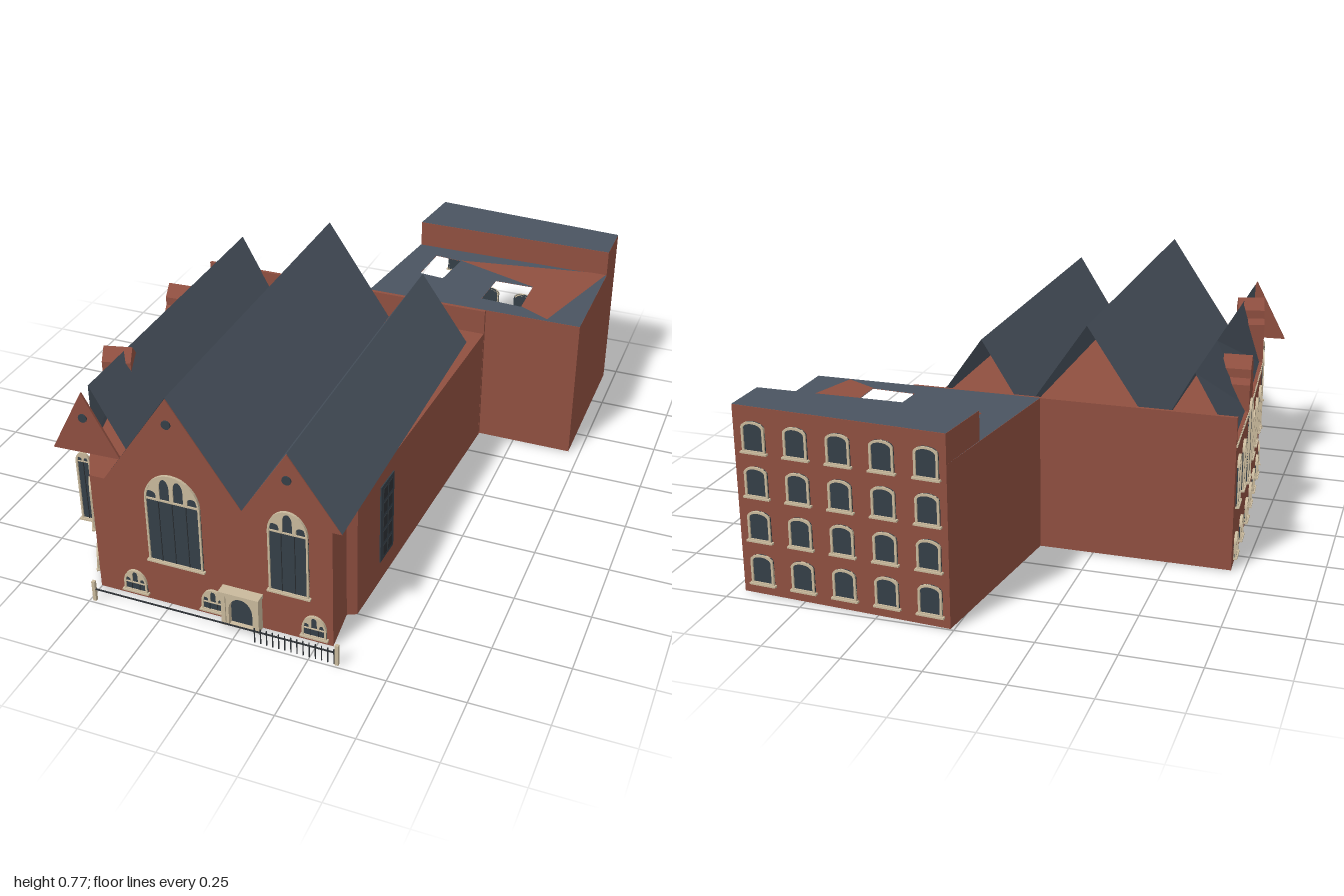
import * as THREE from 'three';

const mat = (color, side = THREE.FrontSide) =>
  new THREE.MeshStandardMaterial({ color, side, flatShading: true });
const brick = mat(0x8f4f40), brickThin = mat(0x8f4f40, THREE.DoubleSide);
const slate = mat(0x4a5460, THREE.DoubleSide), glass = mat(0x343f47);
const stone = mat(0xc9b99c), iron = mat(0x2c3034);

function add(parent, name, geo, material, x = 0, y = 0, z = 0) {
  const m = new THREE.Mesh(geo, material);
  m.name = name;
  m.position.set(x, y, z);
  parent.add(m);
  return m;
}
const box = (parent, name, w, h, d, material, x, y, z) =>
  add(parent, name, new THREE.BoxGeometry(w, h, d), material, x, y, z);

// Ground plan of [x, z] corners, with optional courtyards
function plan(pts, holes = []) {
  const v = (p) => p.map(([x, z]) => new THREE.Vector2(x, -z));
  const s = new THREE.Shape(v(pts));
  s.holes = holes.map((h) => new THREE.Path(v(h)));
  return s;
}
const block = (shape, h) =>
  new THREE.ExtrudeGeometry(shape, { depth: h, bevelEnabled: false }).rotateX(-Math.PI / 2);
const flat = (shape) => new THREE.ShapeGeometry(shape).rotateX(-Math.PI / 2);

// Upright outline [x, y], extruded along z
const upright = (pts, d) => new THREE.ExtrudeGeometry(
  new THREE.Shape(pts.map(([x, y]) => new THREE.Vector2(x, y))), { depth: d, bevelEnabled: false });

// Sheet spanned between two rows of points
function sheet(a, b) {
  const g = new THREE.BufferGeometry();
  const idx = [], n = a.length;
  for (let i = 0; i < n - 1; i++) idx.push(i, i + 1, n + i, i + 1, n + i + 1, n + i);
  g.setAttribute('position', new THREE.Float32BufferAttribute([...a, ...b].flat(), 3));
  g.setIndex(idx);
  g.computeVertexNormals();
  return g;
}

// Arched outline standing on y0, centred on cx
function arch(Type, cx, y0, w, h, a) {
  const s = new Type();
  s.moveTo(cx - w / 2, y0);
  s.lineTo(cx + w / 2, y0);
  s.lineTo(cx + w / 2, y0 + h - a);
  s.absellipse(cx, y0 + h - a, w / 2, a, 0, Math.PI, false);
  s.lineTo(cx - w / 2, y0);
  return s;
}
const solid = (s, d) => new THREE.ExtrudeGeometry(s, { depth: d, bevelEnabled: false, curveSegments: 8 });

// Arched window with stone frame, tracery lights and bars
function makeWindow(name, w, h, a, lights, frame = 0.006) {
  const g = new THREE.Group();
  g.name = name;
  add(g, 'glass', solid(arch(THREE.Shape, 0, 0, w, h, a), 0.004), glass);
  const f = arch(THREE.Shape, 0, 0, w, h, a);
  f.holes.push(arch(THREE.Path, 0, frame, w - frame * 2, h - frame * 2, a - frame / 2));
  add(g, 'frame', solid(f, 0.009), stone);
  if (lights > 1) {
    const t = arch(THREE.Shape, 0, 0, w, a, a * 0.999), step = w / lights;
    for (let i = 0; i < lights; i++) {
      const c = (i + 0.5) * step - w / 2, edge = (Math.abs(c) + step * 0.36) / (w / 2);
      const top = a * Math.sqrt(1 - edge * edge) * 0.92;
      t.holes.push(arch(THREE.Path, c, a * 0.06, step * 0.72, top - a * 0.06, top * 0.4));
    }
    add(g, 'tracery', solid(t, 0.008), stone, 0, h - a, 0);
    for (let i = 1; i < lights; i++)
      box(g, 'mullion', 0.002, h - a, 0.003, iron, i * step - w / 2, (h - a) / 2, 0.005);
  }
  box(g, 'sill', w + 0.012, 0.006, 0.014, stone, 0, 0, 0.006);
  return g;
}
function place(parent, obj, x, y, z, ry = 0) {
  obj.position.set(x, y, z);
  obj.rotation.y = ry;
  parent.add(obj);
}

// Bent side wall, from back to front
const sideWall = [[-0.71, -0.37], [-0.69, 0], [-0.65, 0.5], [-0.58, 0.78], [-0.5, 0.92]];
function onSide(z) {
  let i = 0;
  while (i < sideWall.length - 2 && z > sideWall[i + 1][1]) i++;
  const [[x0, z0], [x1, z1]] = [sideWall[i], sideWall[i + 1]];
  return { x: x0 + (x1 - x0) * (z - z0) / (z1 - z0), ry: Math.atan2(z0 - z1, x1 - x0) };
}

export function createModel() {
  const root = new THREE.Group();
  root.name = 'building';
  const eave = 0.43, front = 0.92;

  // Main hall
  add(root, 'hallWalls', block(plan([...sideWall, [0.3, front], [0.285, 0.77], [0.315, 0.755], [0.37, -0.37]]), eave), brick);
  box(root, 'hallBackWall', 1.08, 0.52, 0.012, brick, -0.17, 0.26, -0.364);

  // Rear block with two courtyards and a raised back strip
  const courts = [[[0.07, -0.72], [0.17, -0.71], [0.15, -0.55], [0.06, -0.56]],
    [[0.34, -0.6], [0.48, -0.6], [0.48, -0.44], [0.33, -0.45]]];
  const rear = plan([[0.01, -1], [0.71, -0.95], [0.71, -0.37], [-0.07, -0.37]], courts);
  const strip = plan([[0.01, -1], [0.71, -0.95], [0.71, -0.79], [-0.015, -0.79]]);
  add(root, 'rearBlock', block(rear, 0.52), brick);
  add(root, 'rearRoof', flat(rear), slate, 0, 0.521, 0);
  add(root, 'rearUpperStrip', block(strip, 0.095), brick, 0, 0.52, 0);
  add(root, 'rearUpperRoof', flat(strip), slate, 0, 0.616, 0);
  add(root, 'rearRoofPatch', flat(plan([[0.17, -0.71], [0.71, -0.8], [0.59, -0.38], [0.48, -0.44], [0.48, -0.6]])),
    brickThin, 0, 0.523, 0);

  // Two front gables with their open-ended pitched roofs
  for (const [x0, xr, x1, top, back] of [[-0.45, -0.22, 0.01, 0.77, -0.355], [0.01, 0.16, 0.33, 0.67, -0.28]]) {
    add(root, 'frontGable', upright([[x0, eave], [x1, eave], [xr, top - 0.003]], 0.012), brick, 0, 0, front - 0.012);
    add(root, 'pitchedRoof', sheet(
      [[x0, eave, back], [xr, top, back], [x1, eave, back]],
      [[x0, eave, front - 0.002], [xr, top, front - 0.002], [x1, eave, front - 0.002]]), slate);
    add(root, 'roundWindow', new THREE.CylinderGeometry(0.015, 0.015, 0.01, 12).rotateX(Math.PI / 2), glass, xr, top - 0.09, front);
  }

  // Side roof following the bent wall
  const zs = [-0.36, 0, 0.5, 0.77], row = (f) => zs.map(f);
  const ridge = row((z) => [-0.57, 0.65, z]);
  add(root, 'sideRoofOuter', sheet(row((z) => [onSide(z).x + 0.012, eave, z]), ridge), slate);
  add(root, 'sideRoofInner', sheet(ridge, row((z) => [-0.45, eave, z])), slate);

  // Gable plate on the angled corner, with its windows
  const corner = new THREE.Group();
  corner.name = 'cornerGable';
  add(corner, 'gablePlate', upright([[-0.115, eave], [0.115, eave], [0, 0.65]], 0.008), brick);
  add(corner, 'roundWindow', new THREE.CylinderGeometry(0.015, 0.015, 0.014, 12).rotateX(Math.PI / 2), glass, 0, 0.56, 0.005);
  place(corner, makeWindow('cornerTallWindow', 0.05, 0.26, 0.035, 2), -0.015, 0.17, 0.004);
  place(root, corner, -0.57, 0, 0.81, 0.05);
  for (const [y, h] of [[0.2, 0.17], [0.04, 0.065]]) {
    const p = onSide(0.86);
    place(root, makeWindow('cornerWindow', 0.075, h, 0.03, 2), p.x, y, 0.86, p.ry);
  }
  const door = onSide(0.76);
  place(root, makeWindow('cornerDoor', 0.05, 0.11, 0.025, 1), door.x, 0, 0.76, door.ry);

  // Front windows
  place(root, makeWindow('mainWindow', 0.185, 0.335, 0.1, 4), -0.218, 0.165, front);
  place(root, makeWindow('secondWindow', 0.13, 0.305, 0.08, 3), 0.16, 0.165, front);
  for (const x of [-0.37, -0.098, 0.24])
    place(root, makeWindow('basementWindow', 0.08, 0.082, 0.05, 3), x, 0.02, front);

  // Entrance portal
  const portal = new THREE.Group();
  portal.name = 'entrance';
  const surround = new THREE.Shape([[-0.055, 0], [0.055, 0], [0.055, 0.12], [-0.055, 0.12]].map((p) => new THREE.Vector2(...p)));
  surround.holes.push(arch(THREE.Path, 0, 0.001, 0.08, 0.108, 0.05));
  add(portal, 'surround', solid(surround, 0.025), stone);
  add(portal, 'door', solid(arch(THREE.Shape, 0, 0, 0.08, 0.108, 0.05), 0.006), glass);
  box(portal, 'cornice', 0.135, 0.013, 0.038, stone, 0, 0.127, 0.019);
  for (const s of [-1, 1]) box(portal, 'pier', 0.014, 0.12, 0.03, stone, s * 0.056, 0.06, 0.015);
  place(root, portal, 0.003, 0, front);

  // Side wall windows in two rows, the tall ones under the dormers
  for (const z of [-0.29, -0.15, 0, 0.14, 0.27, 0.41, 0.55, 0.68]) {
    const { x, ry } = onSide(z), tall = z === 0 || z === 0.55;
    place(root, makeWindow('sideWindow', tall ? 0.075 : 0.065, tall ? 0.29 : 0.17, 0.035, 2), x, tall ? 0.17 : 0.2, z, ry);
    place(root, makeWindow('sideLowWindow', 0.06, 0.08, 0.03, 2), x, 0.02, z, ry);
  }
  // Gabled dormers
  for (const [z, top] of [[0, 0.61], [0.55, 0.66]]) {
    const { x, ry } = onSide(z), d = new THREE.Group();
    d.name = 'dormer';
    add(d, 'dormerBody', upright([[-0.05, 0.42], [0.05, 0.42], [0.05, top - 0.09], [0.035, top - 0.07],
      [0.035, top - 0.04], [0, top], [-0.035, top - 0.04], [-0.035, top - 0.07], [-0.05, top - 0.09]], 0.095), brick, 0, 0, -0.094);
    place(root, d, x, 0, z, ry);
  }
  // Dentils along the side eave
  for (let z = -0.36; z < 0.77; z += 0.025) {
    const { x, ry } = onSide(z);
    box(root, 'dentil', 0.011, 0.009, 0.008, stone, x, eave - 0.006, z).rotation.y = ry;
  }

  // Long window on the opposite side
  const long = new THREE.Group();
  long.name = 'stairWindow';
  box(long, 'glass', 0.105, 0.29, 0.008, glass, 0, 0.145, 0);
  for (let r = 0; r < 5; r++)
    for (const s of [-1, 1]) box(long, 'pane', 0.03, 0.04, 0.004, iron, s * 0.02, 0.035 + r * 0.055, 0.004);
  place(root, long, 0.326, 0.08, 0.53, Math.atan2(1.125, 0.055));

  // Grid of windows on the rear face
  for (let c = 0; c < 5; c++)
    for (let r = 0; r < 4; r++) {
      const t = 0.1 + c * 0.203;
      place(root, makeWindow('rearWindow', 0.078, 0.1, 0.02, 1, 0.007),
        0.71 - 0.7 * t, 0.035 + r * 0.145, -0.95 - 0.05 * t, Math.atan2(0.05, -0.7));
    }

  // Front fence
  for (const x of [-0.483, 0.34]) box(root, 'fencePost', 0.011, 0.075, 0.011, stone, x, 0.0375, 0.99);
  box(root, 'fenceRail', 0.82, 0.004, 0.004, iron, -0.07, 0.044, 0.99);
  for (let x = 0.07; x < 0.335; x += 0.02) box(root, 'fenceBar', 0.003, 0.056, 0.003, iron, x, 0.028, 0.99);
  return root;
}
